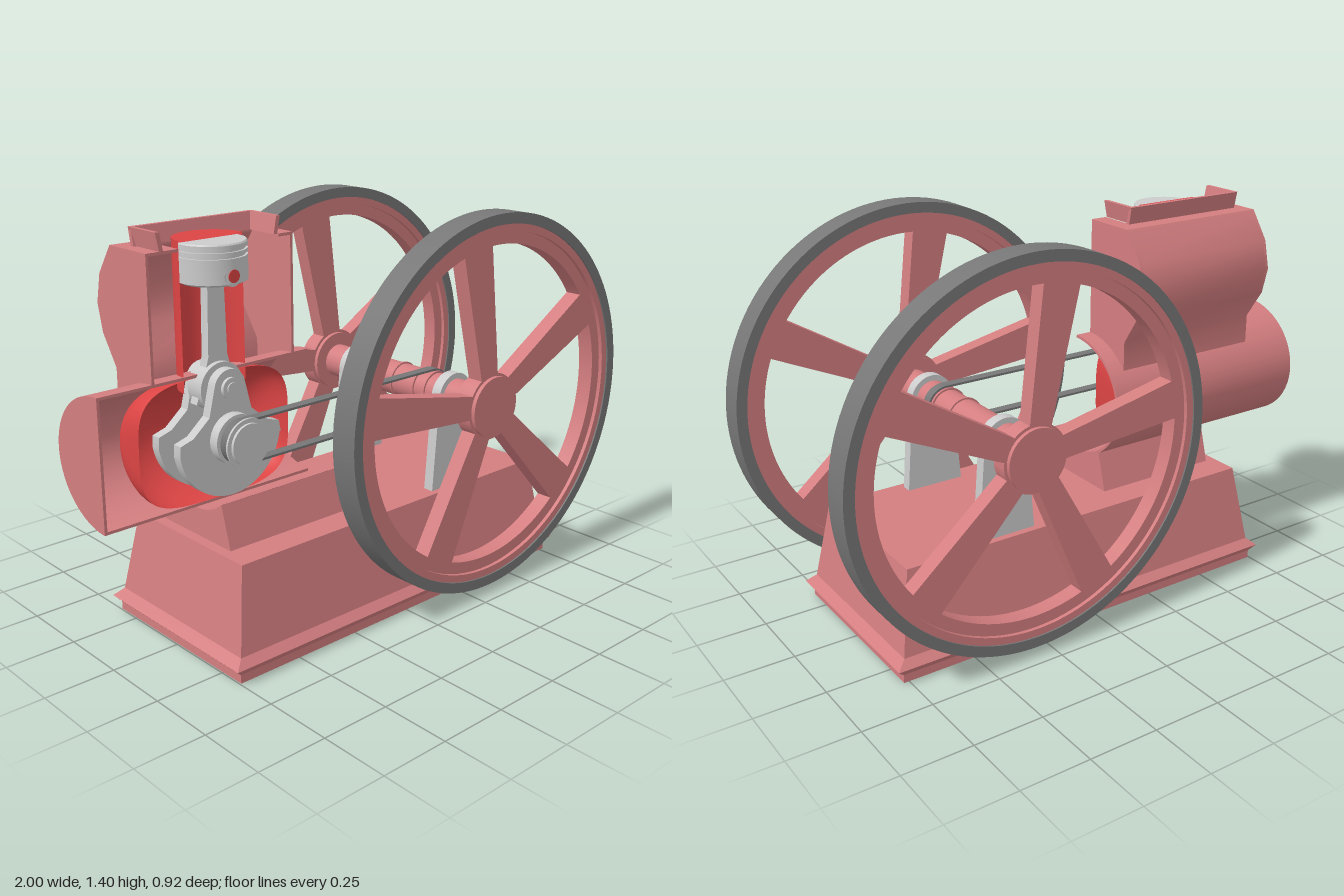
import * as THREE from 'three';
import { toCreasedNormals } from 'three/addons/utils/BufferGeometryUtils.js';

const material = (color) => new THREE.MeshStandardMaterial({ color, side: THREE.DoubleSide });
const PAINT = material(0xd47e80), RED = material(0xdc4444), STEEL = material(0xcccccc), RUBBER = material(0x777777);
const AXLE_X = 0.315, AXLE_Y = 0.717, CRANK_X = -0.555, CASE_Y = 0.7;

export function createModel() {
  const model = new THREE.Group();
  const add = (name, geometry, mat, parent = model) => {
    const mesh = new THREE.Mesh(geometry, mat);
    mesh.name = name;
    parent.add(mesh);
    return mesh;
  };
  const polygon = (pts) => new THREE.Shape(pts.map(([x, y]) => new THREE.Vector2(x, y)));
  // Plate in the xy plane between two z values
  const plate = (shape, z0, z1) => toCreasedNormals(new THREE.ExtrudeGeometry(shape,
    { depth: z1 - z0, bevelEnabled: false, curveSegments: 24 }).translate(0, 0, z0), 0.6);
  // Profile drawn as (-z, y), swept along x
  const sweepX = (shape, x0, x1) => plate(shape, x0, x1).rotateY(Math.PI / 2);
  const box = (x0, x1, y0, y1, z0, z1) => new THREE.BoxGeometry(x1 - x0, y1 - y0, z1 - z0)
    .translate((x0 + x1) / 2, (y0 + y1) / 2, (z0 + z1) / 2);
  const rod = (r, x, y, z0, z1) => new THREE.CylinderGeometry(r, r, z1 - z0, 40)
    .rotateX(Math.PI / 2).translate(x, y, (z0 + z1) / 2);
  // Box whose top and bottom have different half sizes
  const frustum = (cx, y0, y1, [bx, bz], [tx, tz]) => {
    const g = new THREE.BoxGeometry(2, y1 - y0, 2), p = g.attributes.position;
    for (let i = 0; i < p.count; i++) {
      const top = p.getY(i) > 0;
      p.setX(i, p.getX(i) * (top ? tx : bx));
      p.setZ(i, p.getZ(i) * (top ? tz : bz));
    }
    g.computeVertexNormals();
    return g.translate(cx, (y0 + y1) / 2, 0);
  };

  // Base with a pointed lip
  const rings = [[0, 0.757, 0.345], [0.03, 0.757, 0.345], [0.055, 0.782, 0.362], [0.083, 0.748, 0.336], [0.375, 0.7, 0.29]];
  for (let i = 0; i < rings.length - 1; i++) {
    const [y0, ...b] = rings[i], [y1, ...t] = rings[i + 1];
    add('base', frustum(0.012, y0, y1, b, t), PAINT);
  }

  // Pedestal hollowed to fit the crankcase
  const cradle = polygon([[-0.182, 0.375], [0.182, 0.375], [0.14, 0.522]]);
  cradle.absellipse(0, CASE_Y, 0.226, 0.226, -0.9, -Math.PI + 0.9, true);
  cradle.lineTo(-0.14, 0.522);
  add('pedestal', sweepX(cradle, -0.65, -0.16), PAINT);

  // Cut-away crankcase: half shell, closed on one end only
  const shell = new THREE.Shape();
  shell.absellipse(0, CASE_Y, 0.25, 0.226, -Math.PI / 2, Math.PI / 2, false);
  shell.absellipse(0, CASE_Y, 0.24, 0.216, Math.PI / 2, -Math.PI / 2, true);
  add('crankcaseShell', sweepX(shell, -1, -0.16), PAINT);
  const cap = new THREE.Shape();
  cap.absellipse(0, CASE_Y, 0.25, 0.226, -Math.PI / 2, Math.PI / 2, false);
  add('crankcaseEnd', sweepX(cap, -1, -0.99), PAINT);

  // Rounded crank chamber
  const chamber = [];
  for (let i = 0; i <= 32; i++) {
    const a = Math.PI * (1 - i / 32), c = Math.cos(a), s = Math.max(0, Math.sin(a));
    chamber.push(new THREE.Vector2(0.216 * s ** 0.55, CRANK_X + 0.305 * Math.sign(c) * Math.abs(c) ** 0.55));
  }
  add('crankChamber', new THREE.LatheGeometry(chamber, 32, Math.PI / 2, Math.PI)
    .rotateZ(-Math.PI / 2).translate(0, CASE_Y, 0), RED);

  // Water jacket with bulged back
  const back = [[0.2, 0.835], [0.2, 0.94], [0.27, 1.045], [0.293, 1.14], [0.27, 1.24], [0.2, 1.34]];
  const inner = back.map(([z, y]) => [z - 0.012, y]).reverse();
  add('jacketBack', sweepX(polygon([...back, ...inner]), -0.8, -0.22), PAINT);
  const end = polygon([...back, [0, 1.34], [0, 0.925], [0.08, 0.914], [0.15, 0.88]]);
  for (const x of [-0.8, -0.23]) add('jacketEnd', sweepX(end, x, x + 0.01), PAINT);
  add('jacketRoof', box(-0.8, -0.68, 1.33, 1.34, -0.2, 0), PAINT);
  add('jacketRoof', box(-0.28, -0.22, 1.33, 1.34, -0.2, 0), PAINT);
  add('jacketRoof', box(-0.68, -0.28, 1.33, 1.34, -0.2, -0.14), PAINT);

  // Flared hopper collar
  const collarSide = polygon([[0, 1.34], [0.14, 1.34], [0.15, 1.4], [0, 1.4]]);
  const flare = (g, side) => {
    const p = g.attributes.position;
    for (let i = 0; i < p.count; i++) if (p.getY(i) > 1.37) p.setX(i, p.getX(i) + 0.012 * side);
    g.computeVertexNormals();
    return g;
  };
  add('hopperCollar', flare(sweepX(collarSide, -0.75, -0.735), -1), PAINT);
  add('hopperCollar', flare(sweepX(collarSide, -0.3, -0.285), 1), PAINT);
  add('hopperCollar', sweepX(polygon([[0.125, 1.34], [0.14, 1.34], [0.152, 1.4], [0.137, 1.4]]), -0.76, -0.275), PAINT);

  // Half cylinder bore and its lid
  add('cylinderBore', new THREE.CylinderGeometry(0.124, 0.124, 0.49, 32, 1, true, Math.PI / 2, Math.PI)
    .translate(CRANK_X, 1.117, 0), RED);
  add('cylinderLid', new THREE.CylinderGeometry(0.124, 0.124, 0.006, 32, 1, false, Math.PI / 2, Math.PI)
    .translate(CRANK_X, 1.362, 0), RED);

  // Piston with ring grooves and wrist pin
  const piston = [[0, 1.357], [0.112, 1.357], [0.116, 1.352], [0.116, 1.338], [0.108, 1.338], [0.108, 1.33], [0.116, 1.33],
    [0.116, 1.318], [0.108, 1.318], [0.108, 1.31], [0.116, 1.31], [0.116, 1.23], [0.1, 1.222], [0.1, 1.29], [0, 1.29]];
  const pistonGeo = new THREE.LatheGeometry(piston.map(([r, y]) => new THREE.Vector2(r, y)).reverse(), 40);
  add('piston', toCreasedNormals(pistonGeo, 0.6).translate(CRANK_X, 0, 0), STEEL);
  add('wristPinBoss', rod(0.034, CRANK_X, 1.255, -0.112, 0.112), STEEL);
  add('wristPin', rod(0.021, CRANK_X, 1.255, -0.118, 0.118), RED);

  // Connecting rod
  const at = (g) => g.translate(CRANK_X, 0, 0);
  const shank = polygon([[-0.055, 0.92], [-0.038, 0.98], [-0.032, 1.24], [0.032, 1.24], [0.038, 0.98], [0.055, 0.92], [0.09, 0.83], [-0.09, 0.83]]);
  add('connectingRod', at(plate(shank, -0.018, 0.018)), STEEL);
  add('rodBigEnd', rod(0.085, CRANK_X, 0.877, -0.036, 0.036), STEEL);
  add('rodSmallEnd', rod(0.045, CRANK_X, 1.245, -0.03, 0.03), STEEL);

  // Crank webs with fan-shaped counterweights, pin and main journals
  const web = polygon([[0.06, 0.9], [0.085, 0.8], [0.15, 0.745], [0.2, 0.73], [0.208, 0.69]]);
  web.absarc(0, 0.722, 0.205, -0.15, -Math.PI + 0.15, true);
  [[-0.2, 0.73], [-0.15, 0.745], [-0.085, 0.8], [-0.06, 0.9]].forEach(([x, y]) => web.lineTo(x, y));
  web.absarc(0, 0.885, 0.062, Math.PI - 0.24, 0.24, true);
  for (const z of [0.042, -0.078]) add('crankWeb', at(plate(web, z, z + 0.036)), STEEL);
  add('crankPin', rod(0.036, CRANK_X, 0.885, -0.09, 0.09), STEEL);
  add('crankPinCenter', rod(0.02, CRANK_X, 0.885, 0.09, 0.095), STEEL);
  add('crankPulley', rod(0.071, CRANK_X, AXLE_Y, 0.078, 0.18), STEEL);
  add('pulleyFlange', rod(0.086, CRANK_X, AXLE_Y, 0.078, 0.115), STEEL);
  add('pulleyFlange', rod(0.086, CRANK_X, AXLE_Y, 0.162, 0.17), STEEL);
  add('rearJournal', rod(0.071, CRANK_X, AXLE_Y, -0.13, -0.078), STEEL);

  // Flat belt between crank and axle
  const loop = (path, r) => {
    path.absarc(AXLE_X, AXLE_Y, r, -Math.PI / 2, Math.PI / 2, false);
    path.absarc(CRANK_X, AXLE_Y, r, Math.PI / 2, Math.PI * 1.5, false);
    path.closePath();
    return path;
  };
  const belt = loop(new THREE.Shape(), 0.076);
  belt.holes.push(loop(new THREE.Path(), 0.068));
  add('belt', plate(belt, 0.12, 0.157), RUBBER);

  // Axle, collars and bearing stands
  add('axle', rod(0.063, AXLE_X, AXLE_Y, -0.37, 0.37), PAINT);
  add('axleBand', rod(0.069, AXLE_X, AXLE_Y, -0.004, 0.004), PAINT);
  for (const z of [0.108, 0.164]) add('beltGuide', rod(0.07, AXLE_X, AXLE_Y, z, z + 0.008), PAINT);
  const stand = polygon([[-0.11, 0.375], [0.11, 0.375], [0.083, 0.717]]);
  stand.absarc(0, AXLE_Y, 0.083, 0, Math.PI, false);
  for (const z of [0.225, -0.265]) add('bearingStand', plate(stand, z, z + 0.04).translate(AXLE_X, 0, 0), STEEL);

  // Five-spoke flywheels with rubber tyres
  const ring = (outer, hole, halfDepth) => {
    const s = new THREE.Shape().absarc(0, 0, outer, 0, Math.PI * 2, false);
    s.holes.push(new THREE.Path().absarc(0, 0, hole, 0, Math.PI * 2, true));
    return toCreasedNormals(new THREE.ExtrudeGeometry(s, { depth: halfDepth * 2, bevelEnabled: false, curveSegments: 64 })
      .translate(0, 0, -halfDepth), 0.6);
  };
  const spokes = new THREE.Shape().absarc(0, 0, 0.63, 0, Math.PI * 2, false);
  for (let i = 0; i < 5; i++) {
    const a0 = THREE.MathUtils.degToRad(28 + 72 * i), a1 = a0 + Math.PI * 0.4;
    const near = 0.36, far = 0.122, R = 0.572;
    const hole = new THREE.Path();
    hole.absarc(0, 0, 0.12, a0 + near, a1 - near, false);
    hole.absarc(0, 0, R, a1 - far, a0 + far, true);
    hole.closePath();
    spokes.holes.push(hole);
  }
  for (const z of [0.41, -0.41]) {
    const wheel = new THREE.Group();
    wheel.name = 'flywheel';
    wheel.position.set(AXLE_X, AXLE_Y, z);
    add('tyre', ring(0.68, 0.642, 0.05), RUBBER, wheel);
    add('rim', ring(0.642, 0.615, 0.044), PAINT, wheel);
    add('spokes', plate(spokes, -0.03, 0.03), PAINT, wheel);
    add('hub', rod(0.11, 0, 0, -0.045, 0.045), PAINT, wheel);
    model.add(wheel);
  }
  return model;
}
